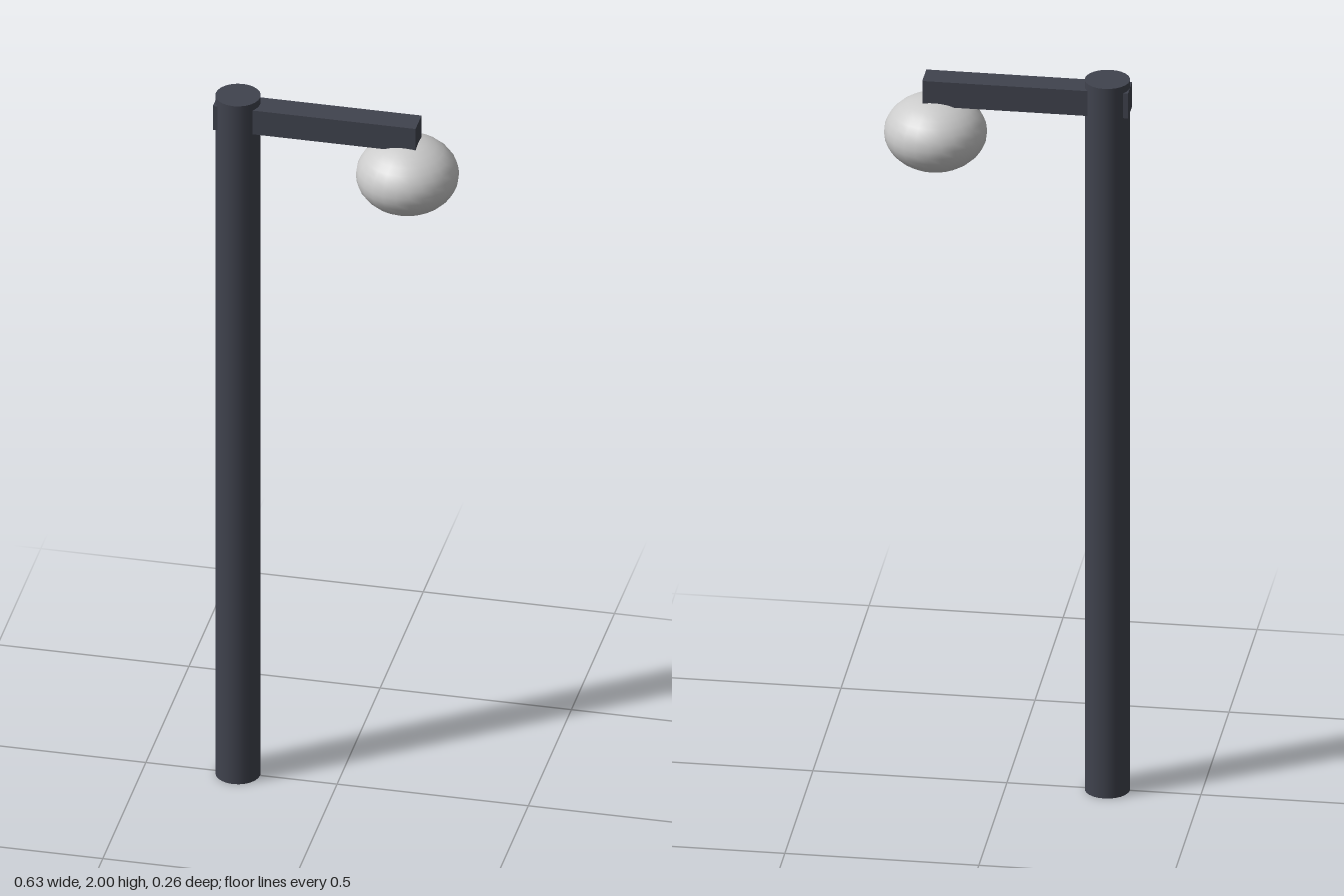
import * as THREE from 'three';

export function createModel() {
  const lamp = new THREE.Group();
  lamp.name = 'streetLamp';
  const metal = new THREE.MeshStandardMaterial({ color: 0x40434e });
  const glass = new THREE.MeshStandardMaterial({ color: 0xcccccc });

  const add = (name, geometry, material, x, y) => {
    const mesh = new THREE.Mesh(geometry, material);
    mesh.name = name;
    mesh.position.set(x, y, 0);
    lamp.add(mesh);
    return mesh;
  };

  // Upright round post
  add('post', new THREE.CylinderGeometry(0.058, 0.058, 2, 24), metal, -0.259, 1);

  // Square arm passing through the top of the post
  add('arm', new THREE.BoxGeometry(0.53, 0.07, 0.07), metal, -0.052, 1.945);

  // Flattened globe hanging under the arm's end
  const globe = add('globe', new THREE.SphereGeometry(0.132, 24, 16), glass, 0.184, 1.824);
  globe.scale.y = 0.75;

  return lamp;
}
